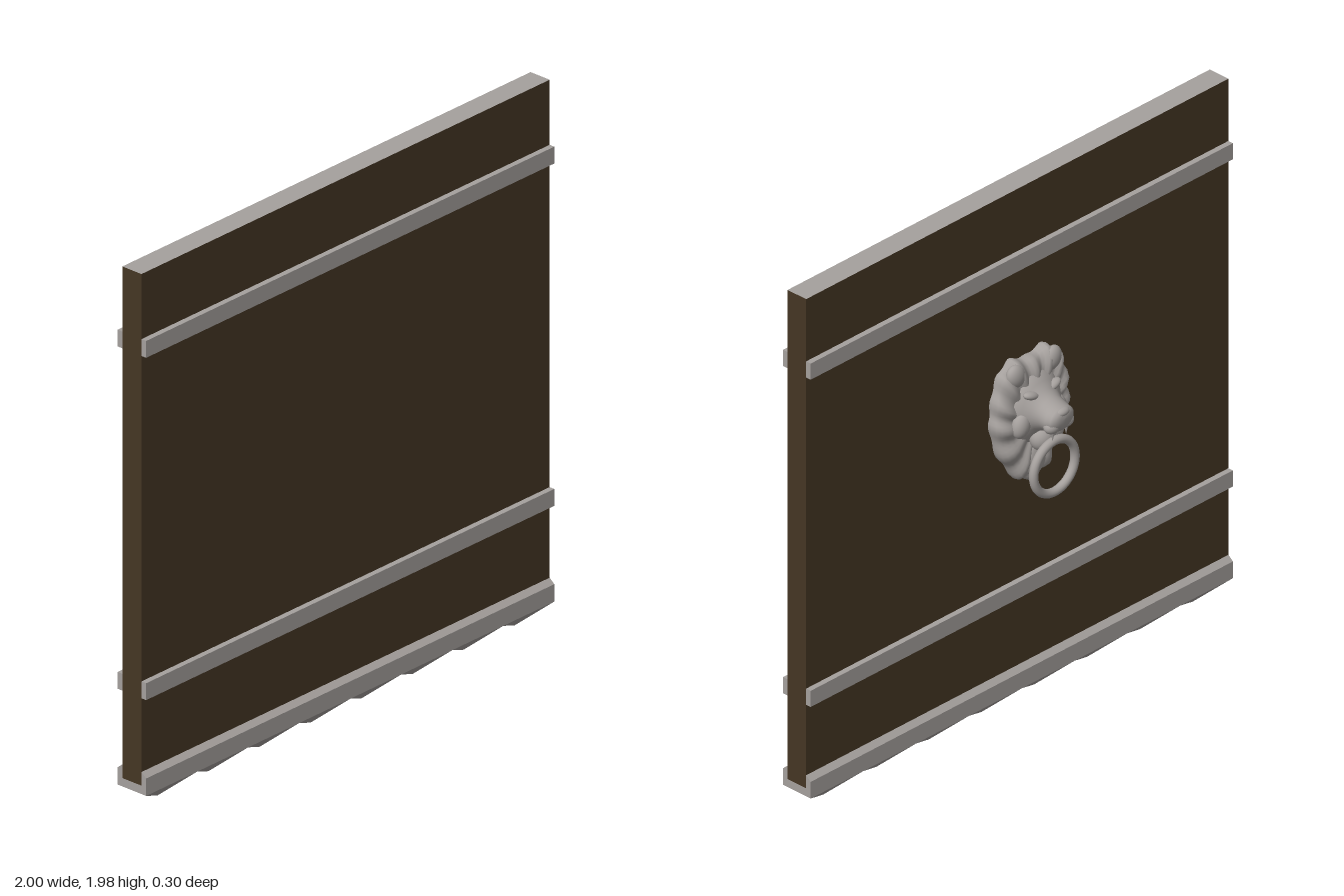
import * as THREE from 'three';
import { toCreasedNormals } from 'three/addons/utils/BufferGeometryUtils.js';

const iron = new THREE.MeshStandardMaterial({ name: 'iron grey', color: 0xa5a09d });
const wood = new THREE.MeshStandardMaterial({ name: 'dark wood', color: 0x453624 });

const MID = 0.087; // centre of the door's thickness

function add(parent, name, geometry, material, x = 0, y = 0, z = 0) {
  const mesh = new THREE.Mesh(geometry, material);
  mesh.name = name;
  mesh.position.set(x, y, z);
  parent.add(mesh);
  return mesh;
}

// Smooth skin over closed loops of equal length
function loft(loops) {
  const n = loops[0].length, pos = [], idx = [];
  for (const loop of loops) for (const p of loop) pos.push(p.x, p.y, p.z);
  for (let i = 0; i < loops.length - 1; i++) {
    for (let j = 0; j < n; j++) {
      const a = i * n + j, b = i * n + (j + 1) % n;
      idx.push(a, b, b + n, a, b + n, a + n);
    }
  }
  const g = new THREE.BufferGeometry();
  g.setAttribute('position', new THREE.Float32BufferAttribute(pos, 3));
  g.setIndex(idx);
  g.computeVertexNormals();
  return g;
}

// Lion head, modelled facing +z with its back plane at z = 0
function lionKnocker() {
  const head = new THREE.Group();
  head.name = 'lionKnocker';

  // Mane: lumpy dome over a shield-shaped outline
  const half = [[0.08, 1.34], [0.14, 1.29], [0.166, 1.2], [0.172, 1.12], [0.15, 1.02], [0.1, 0.93], [0.05, 0.875]];
  const outline = [[0, 1.325], ...half.map(([x, y]) => [-x, y]), [0, 0.86], ...half.slice().reverse()];
  const curve = new THREE.CatmullRomCurve3(outline.map(([x, y]) => new THREE.Vector3(x, y, 0)), true);
  const rim = curve.getPoints(96).slice(0, 96);
  const rings = [[0.98, 0], [1, 0.018], [0.98, 0.036], [0.92, 0.05], [0.82, 0.06], [0.7, 0.064], [0.5, 0.06], [0.25, 0.06], [0.001, 0.06]];
  add(head, 'mane', loft(rings.map(([s, d]) => rim.map((p, j) => {
    const a = (j / 96) * Math.PI * 2;
    const tuft = Math.cos(a * 14 + s * 3 * Math.sin(a));
    const k = s * (1 + 0.025 * tuft * s);
    return new THREE.Vector3(p.x * k, 1.11 + (p.y - 1.11) * k, d * (1 + 0.16 * tuft * s));
  }))), iron);

  // Face tapering into the muzzle: depth, centre height, half width, half height
  const sections = [[0.03, 1.15, 0.125, 0.145], [0.06, 1.15, 0.112, 0.128], [0.08, 1.153, 0.094, 0.1],
    [0.1, 1.155, 0.074, 0.075], [0.125, 1.152, 0.062, 0.062], [0.155, 1.148, 0.061, 0.052],
    [0.175, 1.15, 0.056, 0.044], [0.187, 1.155, 0.042, 0.032], [0.191, 1.158, 0.02, 0.015], [0.192, 1.158, 0.0005, 0.0005]];
  add(head, 'face', loft(sections.map(([z, cy, rx, ry]) => Array.from({ length: 40 }, (_, j) => {
    const a = (j / 40) * Math.PI * 2;
    return new THREE.Vector3(Math.cos(a) * rx, cy + Math.sin(a) * ry, z);
  }))), iron);

  const ball = (name, x, y, z, rx, ry, rz, tilt = 0) => {
    const m = add(head, name, new THREE.SphereGeometry(1, 24, 16), iron, x, y, z);
    m.scale.set(rx, ry, rz);
    m.rotation.z = tilt;
  };
  ball('nose', 0, 1.177, 0.174, 0.032, 0.016, 0.02);
  ball('jaw', 0, 1.045, 0.085, 0.048, 0.05, 0.042);
  ball('beard', 0, 0.955, 0.045, 0.05, 0.07, 0.03);
  for (const s of [-1, 1]) {
    ball('ear', s * 0.085, 1.295, 0.045, 0.038, 0.045, 0.026, -s * 0.5);
    ball('brow', s * 0.05, 1.222, 0.083, 0.036, 0.015, 0.02, s * 0.3);
    ball('eye', s * 0.055, 1.197, 0.086, 0.015, 0.01, 0.012);
    ball('cheek', s * 0.085, 1.12, 0.07, 0.036, 0.05, 0.03, s * 0.3);
    ball('lip', s * 0.032, 1.128, 0.16, 0.032, 0.026, 0.026);
    const fang = add(head, 'fang', new THREE.ConeGeometry(0.008, 0.035, 10), iron, s * 0.032, 1.09, 0.163);
    fang.rotation.x = Math.PI;
  }

  // Ring hanging from the mouth
  add(head, 'knockerRing', new THREE.TorusGeometry(0.098, 0.016, 14, 48), iron, 0, 0.953, 0.14);

  head.position.set(-0.033, 0, 0.045);
  head.rotation.y = Math.PI;
  return head;
}

export function createModel() {
  const model = new THREE.Group();
  model.name = 'door';

  // Wooden panel with an iron-capped top edge
  add(model, 'panel', new THREE.BoxGeometry(2, 1.88, 0.086), [wood, wood, iron, iron, wood, wood], 0, 1.035, MID);

  // Straps across both faces
  for (const y of [0.447, 1.705]) {
    for (const s of [-1, 1]) add(model, 'strap', new THREE.BoxGeometry(2, 0.062, 0.021), iron, 0, y, MID + s * 0.0535);
  }

  // Iron shoe wrapping the bottom edge, with sloped upper lips
  const shoe = new THREE.Shape([[-0.064, 0.064], [0.064, 0.064], [0.064, 0.128], [0.043, 0.145],
    [0.043, 0.095], [-0.043, 0.095], [-0.043, 0.145], [-0.064, 0.128]].map(([x, y]) => new THREE.Vector2(x, y)));
  const shoeGeo = new THREE.ExtrudeGeometry(shoe, { depth: 2, bevelEnabled: false });
  shoeGeo.translate(0, 0, -1).rotateY(Math.PI / 2);
  add(model, 'bottomShoe', shoeGeo, iron, 0, 0, MID);

  // Row of pyramid teeth
  let tooth = new THREE.ConeGeometry(Math.SQRT1_2, 1, 4);
  tooth.rotateY(Math.PI / 4).rotateX(Math.PI).scale(0.25, 0.064, 0.128);
  tooth = toCreasedNormals(tooth, 0.2);
  for (let i = 0; i < 8; i++) add(model, 'tooth', tooth, iron, -0.875 + i * 0.25, 0.032, MID);

  model.add(lionKnocker());
  return model;
}
